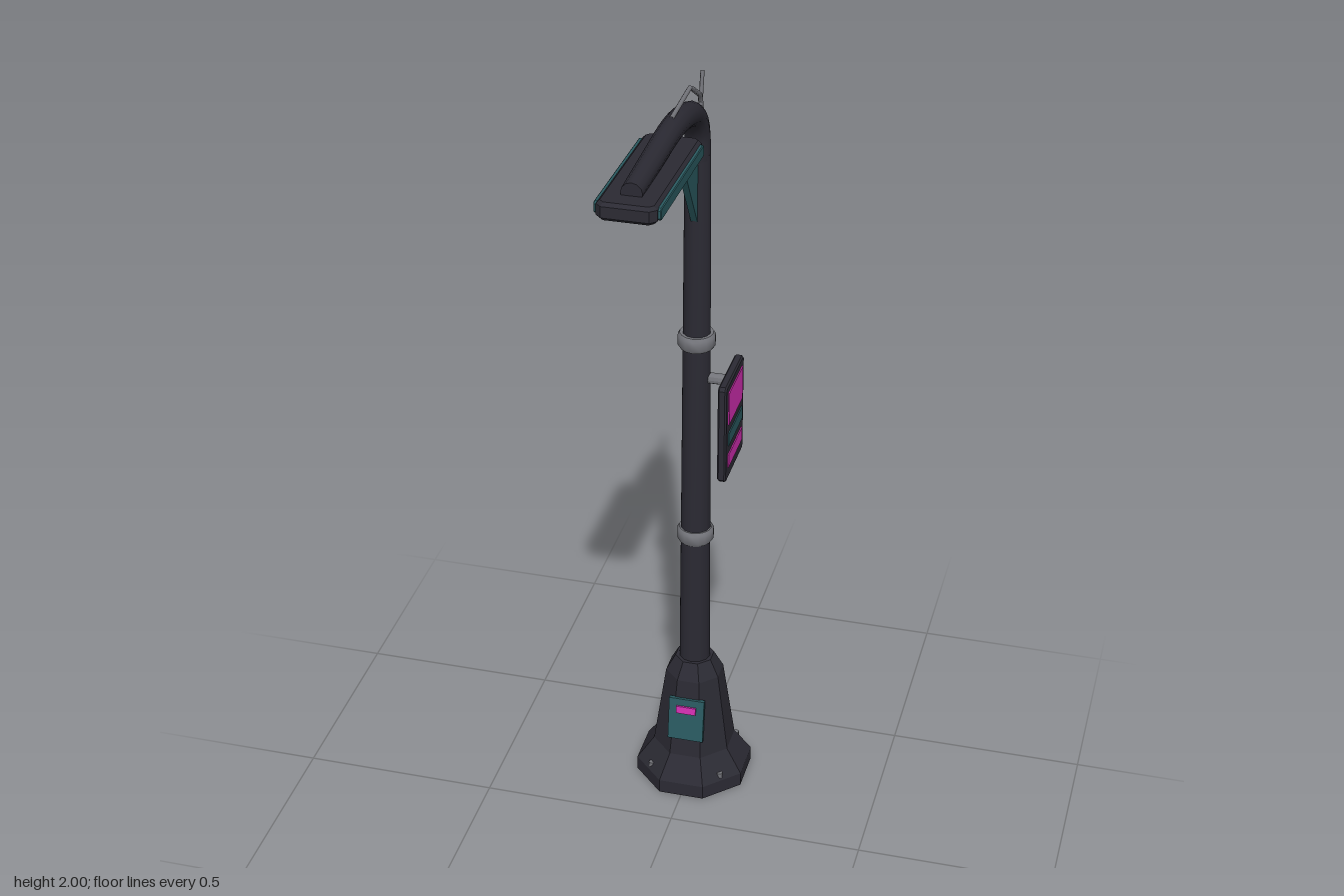
import * as THREE from 'three';
import { toCreasedNormals } from 'three/addons/utils/BufferGeometryUtils.js';

const AXIS = -0.243; // z of the pole axis

function material(name, color, options = {}) {
  const m = new THREE.MeshStandardMaterial({ color, ...options });
  m.name = name;
  return m;
}

export function createModel() {
  const dark = material('dark metal', 0x2b2a33);
  const teal = material('teal paint', 0x2a5a60);
  const pink = material('magenta glow', 0xd42fb2);
  const grey = material('grey metal', 0x75767c);
  const root = new THREE.Group();
  root.name = 'streetLamp';

  function add(name, geometry, mat, x = 0, y = 0, z = 0, parent = root) {
    const mesh = new THREE.Mesh(geometry, mat);
    mesh.name = name;
    mesh.position.set(x, y, z);
    parent.add(mesh);
    return mesh;
  }
  const box = (w, h, d) => new THREE.BoxGeometry(w, h, d);
  const creased = (g) => toCreasedNormals(g, 0.7);

  // Slab with cut corners and bevelled rims, thickness along z
  function slab(w, h, depth, cut, bevel) {
    const a = w / 2 - bevel, b = h / 2 - bevel;
    const shape = new THREE.Shape([
      [a - cut, -b], [a, -b + cut], [a, b - cut], [a - cut, b],
      [-a + cut, b], [-a, b - cut], [-a, -b + cut], [-a + cut, -b],
    ].map(([x, y]) => new THREE.Vector2(x, y)));
    return new THREE.ExtrudeGeometry(shape, {
      depth: depth - 2 * bevel, bevelSize: bevel, bevelThickness: bevel, bevelSegments: 1,
    }).translate(0, 0, bevel - depth / 2);
  }

  // Octagonal base; profile is [flat half-width, height]
  const profile = [[0, 0], [0.142, 0], [0.142, 0.038], [0.1, 0.1], [0.07, 0.32], [0.047, 0.365], [0, 0.365]]
    .map(([r, y]) => new THREE.Vector2(r / Math.cos(Math.PI / 8), y));
  const baseGeo = toCreasedNormals(new THREE.LatheGeometry(profile, 8, Math.PI / 8), 0.1);
  add('base', baseGeo, dark, 0, 0, AXIS);

  // Anchor bolts on the base shoulder
  for (const sx of [-1, 1]) for (const sz of [-1, 1]) {
    add('anchorBolt', new THREE.CylinderGeometry(0.008, 0.008, 0.03, 6), grey, sx * 0.093, 0.042, AXIS + sz * 0.093);
  }

  // Access hatch leaning with the base front
  const hatch = new THREE.Group();
  hatch.name = 'accessHatch';
  hatch.position.set(0, 0.212, AXIS + 0.087);
  hatch.rotation.x = -0.136;
  root.add(hatch);
  add('hatchDoor', box(0.094, 0.12, 0.012), teal, 0, 0, 0, hatch);
  add('hatchSlot', box(0.052, 0.02, 0.008), pink, 0, 0.03, 0.008, hatch);

  // Tapered pole with two collars
  add('pole', creased(new THREE.CylinderGeometry(0.032, 0.041, 1.45, 12)), dark, 0, 1.075, AXIS);
  const collar = [[0.03, -0.02], [0.042, -0.02], [0.047, -0.012], [0.047, 0.012], [0.042, 0.02], [0.03, 0.02]]
    .map(([r, y]) => new THREE.Vector2(r, y));
  for (const y of [0.745, 1.305]) add('collar', creased(new THREE.LatheGeometry(collar, 16)), grey, 0, y, AXIS);

  // Curved arm, tapering towards its tip
  const armPath = new THREE.CatmullRomCurve3(
    [[1.78, AXIS], [1.86, -0.236], [1.915, -0.195], [1.948, -0.11], [1.964, 0], [1.964, 0.16], [1.962, 0.33]]
      .map(([y, z]) => new THREE.Vector3(0, y, z)));
  const segments = 24, sides = 12;
  const armGeo = new THREE.TubeGeometry(armPath, segments, 1, sides);
  const pos = armGeo.attributes.position;
  const v = new THREE.Vector3();
  for (let i = 0; i < pos.count; i++) {
    const t = Math.floor(i / (sides + 1)) / segments;
    const c = armPath.getPointAt(t);
    v.fromBufferAttribute(pos, i).sub(c).multiplyScalar(0.032 - 0.007 * t).add(c);
    pos.setXYZ(i, v.x, v.y, v.z);
  }
  add('arm', armGeo, dark);
  add('armTip', new THREE.CircleGeometry(0.025, sides), dark, 0, 1.962, 0.33);

  // Lamp head, tipped slightly upwards
  const head = new THREE.Group();
  head.name = 'lampHead';
  head.position.set(0, 1.929, 0.18);
  head.rotation.x = -0.04;
  root.add(head);
  add('headShell', toCreasedNormals(slab(0.136, 0.41, 0.042, 0.01, 0.008).rotateX(-Math.PI / 2), 0.3), dark, 0, 0, 0, head);
  for (const s of [-1, 1]) {
    add('sideTrim', slab(0.37, 0.028, 0.012, 0.004, 0.002).rotateY(Math.PI / 2), teal, s * 0.069, 0, 0, head);
  }
  add('lightPanel', box(0.085, 0.014, 0.345), pink, 0, -0.025, -0.008, head);

  // Triangular brace between pole and head
  const brace = new THREE.Shape([[0.025, 1.935], [0.235, 1.79], [0.235, 1.6], [0.05, 1.885], [0.025, 1.905]]
    .map(([x, y]) => new THREE.Vector2(x, y)));
  add('brace', new THREE.ExtrudeGeometry(brace, { depth: 0.016, bevelEnabled: false })
    .translate(0, 0, -0.008).rotateY(Math.PI / 2), teal);

  // Slack cable over the bend, with a short antenna
  function wire(name, points, radius) {
    const path = new THREE.CurvePath();
    const p = points.map(([y, z]) => new THREE.Vector3(0, y, z));
    for (let i = 1; i < p.length; i++) path.add(new THREE.LineCurve3(p[i - 1], p[i]));
    add(name, new THREE.TubeGeometry(path, 24, radius, 6), grey);
  }
  wire('cable', [[1.99, 0], [1.995, -0.17], [1.935, -0.265], [1.75, -0.31], [1.56, -0.278]], 0.006);
  wire('antenna', [[1.86, -0.255], [1.99, -0.283]], 0.005);

  // Side sign with panels on both faces
  const sign = new THREE.Group();
  sign.name = 'sign';
  sign.position.set(0.087, 1.093, AXIS);
  root.add(sign);
  add('signBoard', slab(0.184, 0.268, 0.022, 0.006, 0.004).rotateY(Math.PI / 2), dark, 0, 0, 0, sign);
  for (const s of [-1, 1]) {
    for (const [name, y, h, mat] of [['upperPanel', 0.067, 0.09, pink], ['middleStripe', -0.02, 0.034, teal], ['lowerStripe', -0.081, 0.036, pink]]) {
      add(name, box(0.005, h, 0.14), mat, s * 0.0115, y, 0, sign);
    }
  }
  add('signBracket', creased(new THREE.CylinderGeometry(0.014, 0.014, 0.06, 10).rotateZ(Math.PI / 2)), grey, 0.048, 1.2, AXIS);

  return root;
}
